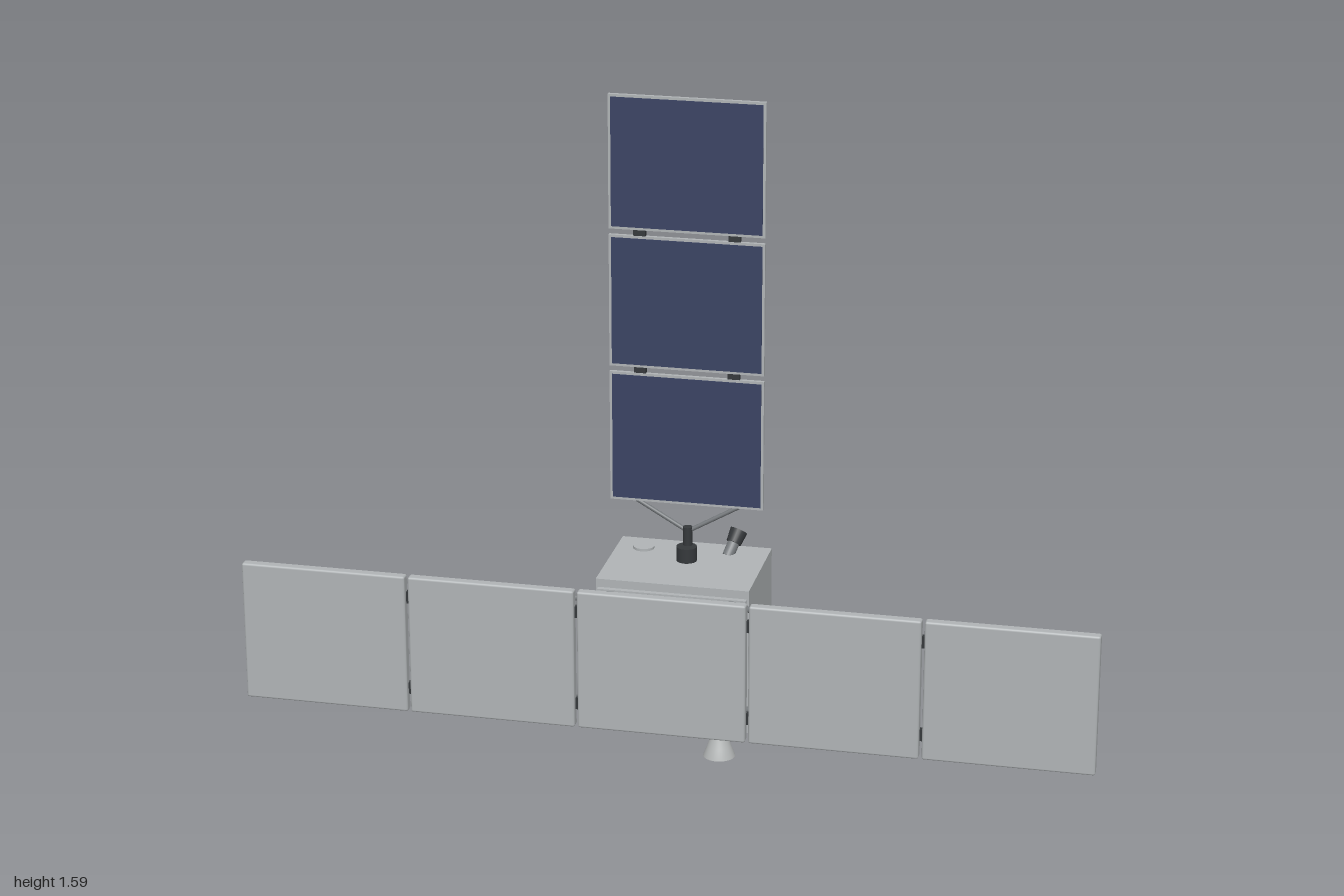
import * as THREE from 'three';
import { RoundedBoxGeometry } from 'three/addons/geometries/RoundedBoxGeometry.js';

const mat = (name, color) => {
  const m = new THREE.MeshStandardMaterial({ color });
  m.name = name;
  return m;
};

export function createModel() {
  const root = new THREE.Group();
  root.name = 'satellite';
  const shell = mat('shellGrey', 0xb0b4b6);
  const cells = mat('solarBlue', 0x3a4363);
  const metal = mat('strutGrey', 0x75797c);
  const dark = mat('fittingBlack', 0x35383b);

  const add = (name, geo, material, x = 0, y = 0, z = 0, parent = root) => {
    const m = new THREE.Mesh(geo, material);
    m.name = name;
    m.position.set(x, y, z);
    parent.add(m);
    return m;
  };
  const box = (name, w, h, d, material, x, y, z, parent) =>
    add(name, new THREE.BoxGeometry(w, h, d), material, x, y, z, parent);
  const cyl = (name, rTop, rBottom, h, material, x, y, z, parent) =>
    add(name, new THREE.CylinderGeometry(rTop, rBottom, h, 24), material, x, y, z, parent);
  const rod = (name, a, b, r, material) => {
    const p = new THREE.Vector3(...a), q = new THREE.Vector3(...b);
    const dir = q.clone().sub(p);
    const m = cyl(name, r, r, dir.length(), material);
    m.position.copy(p).add(q).multiplyScalar(0.5);
    m.quaternion.setFromUnitVectors(new THREE.Vector3(0, 1, 0), dir.normalize());
    return m;
  };

  // Main body with its front plate and round top cover
  box('body', 0.36, 0.355, 0.27, shell, 0, 0.2975, -0.045);
  box('frontPlate', 0.35, 0.315, 0.012, shell, 0, 0.2975, 0.096);
  cyl('topCover', 0.025, 0.025, 0.006, shell, -0.115, 0.478, -0.12);

  // Five antenna panels in a row
  for (let i = -2; i <= 2; i++)
    add('antennaPanel', new RoundedBoxGeometry(0.393, 0.338, 0.026, 1, 0.005), shell, i * 0.4, 0.319, 0.197);
  for (const x of [-0.6, -0.2, 0.2, 0.6])
    for (const y of [0.205, 0.433])
      box('antennaHinge', 0.016, 0.028, 0.014, dark, x, y, 0.191);

  // Four struts carry the antenna
  for (const s of [-1, 1])
    for (const y of [0.195, 0.445]) {
      rod('antennaStrut', [s * 0.11, y, 0.085], [s * 0.295, y, 0.181], 0.007, metal);
      rod('strutFoot', [s * 0.25, y, 0.16], [s * 0.3, y, 0.184], 0.009, metal);
    }

  // Solar wing: three hinged panels
  const wingZ = -0.067;
  for (let i = 0; i < 3; i++) {
    const y = 0.772 + i * 0.328;
    box('solarPanel', 0.362, 0.314, 0.009, shell, 0, y, wingZ);
    box('solarCells', 0.35, 0.302, 0.002, cells, 0, y, wingZ + 0.005);
    if (i < 2)
      for (const x of [-0.11, 0.11])
        box('wingHinge', 0.028, 0.022, 0.012, dark, x, y + 0.164, wingZ - 0.003);
  }

  // Wing drive and yoke
  cyl('wingDrive', 0.024, 0.024, 0.036, dark, 0, 0.492, -0.066);
  cyl('wingMast', 0.011, 0.011, 0.05, dark, 0, 0.53, -0.076);
  for (const s of [-1, 1])
    rod('yokeArm', [0, 0.543, -0.078], [s * 0.13, 0.618, -0.078], 0.005, metal);
  box('yokeBar', 0.28, 0.014, 0.012, metal, 0, 0.62, -0.078);

  // Tilted star tracker
  const tracker = new THREE.Group();
  tracker.name = 'starTracker';
  tracker.position.set(0.087, 0.472, -0.128);
  tracker.quaternion.setFromUnitVectors(
    new THREE.Vector3(0, 1, 0), new THREE.Vector3(0.018, 0.05, -0.034).normalize());
  root.add(tracker);
  cyl('trackerBase', 0.014, 0.014, 0.036, metal, 0, 0.014, 0, tracker);
  cyl('trackerHood', 0.021, 0.018, 0.032, dark, 0, 0.046, 0, tracker);

  // Back thruster pairs
  for (const s of [-1, 1]) {
    box('thrusterBlock', 0.034, 0.022, 0.016, dark, s * 0.148, 0.253, -0.187);
    for (const dx of [-0.01, 0.01]) {
      const n = cyl('thrusterNozzle', 0.005, 0.007, 0.018, dark, s * 0.148 + dx, 0.253, -0.203);
      n.rotation.x = Math.PI / 2;
    }
  }

  // Main engine under the body
  cyl('engineMount', 0.026, 0.026, 0.05, metal, 0.087, 0.096, -0.03);
  const bell = [[0.014, 0.073], [0.017, 0.06], [0.028, 0.025], [0.038, 0], [0.034, 0.003], [0.012, 0.066], [0, 0.066]]
    .map(([r, y]) => new THREE.Vector2(r, y));
  const bellMat = mat('nozzleGrey', 0xb8bbbb);
  bellMat.side = THREE.DoubleSide;
  add('engineBell', new THREE.LatheGeometry(bell, 32), bellMat, 0.087, 0, -0.03);

  return root;
}
